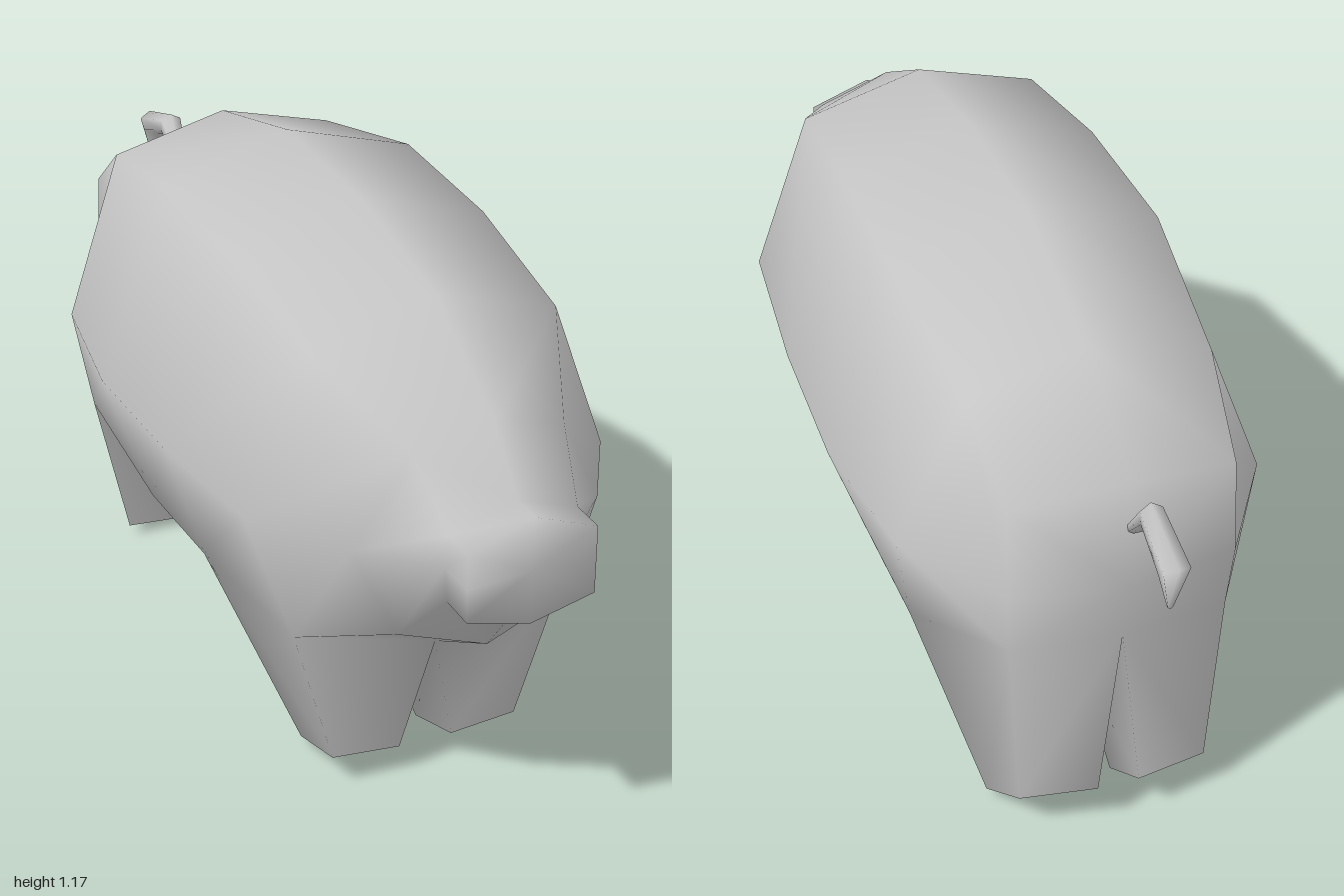
import * as THREE from 'three';

const skin = new THREE.MeshStandardMaterial({ color: 0xc6c6c6 });
skin.name = 'grey skin';

function makeMesh(name, points, index) {
  const geo = new THREE.BufferGeometry();
  geo.setAttribute('position', new THREE.Float32BufferAttribute(points.flat(), 3));
  geo.setIndex(index);
  geo.computeVertexNormals();
  const mesh = new THREE.Mesh(geo, skin);
  mesh.name = name;
  return mesh;
}

// Half cross-sections, snout to rump: top, shoulder, flank, lower flank, belly as [x, y, z]
const SECTIONS = [
  [[0, .835, 1], [.135, .785, 1], [.135, .71, 1], [.135, .64, 1], [0, .605, 1]],
  [[0, .835, .93], [.135, .785, .92], [.137, .71, .91], [.135, .64, .92], [0, .6, .94]],
  [[0, .95, .83], [.16, .905, .81], [.265, .7, .77], [.18, .51, .8], [0, .46, .83]],
  [[0, 1.1, .57], [.265, 1.025, .57], [.395, .685, .55], [.305, .41, .585], [0, .335, .605]],
  [[0, 1.165, .22], [.28, 1.085, .22], [.425, .67, .2], [.348, .41, .21], [0, .27, .21]],
  [[0, 1.175, -.15], [.285, 1.095, -.15], [.435, .665, -.15], [.335, .37, -.13], [0, .207, -.12]],
  [[0, 1.085, -.52], [.255, 1.02, -.52], [.39, .67, -.48], [.355, .45, -.45], [0, .265, -.45]],
  [[0, .935, -.76], [.235, .885, -.71], [.238, .68, -.725], [.23, .53, -.71], [0, .53, -.735]],
];

// Feet corners: front outer, front inner, back inner, back outer; each grows from the belly after a section
const FEET = {
  3: [[.21, .08, .565], [.06, .07, .57], [.065, .002, .39], [.21, .03, .4]],
  6: [[.235, .03, -.58], [.04, .012, -.59], [.045, .12, -.74], [.205, .11, -.705]],
};

const mirror = ([x, y, z]) => [-x, y, z];

// Body, snout and legs form one smooth skin
function createBody() {
  const points = [];
  const index = [];
  SECTIONS.forEach(s => points.push(...s, ...s.slice(1, 4).reverse().map(mirror)));

  // The flip keeps the diagonals mirrored from side to side
  const quad = (a, b, c, d, flip) => flip
    ? index.push(a, b, d, b, c, d)
    : index.push(a, b, c, a, c, d);

  for (let i = 0; i < SECTIONS.length - 1; i++) {
    for (let j = 0; j < 8; j++) {
      const k = (j + 1) % 8;
      const base = [i * 8 + j, i * 8 + k, i * 8 + 8 + k, i * 8 + 8 + j];
      const right = j > 3;
      if (!FEET[i] || (j !== 3 && j !== 4)) {
        quad(...base, right);
        continue;
      }
      // Pull this belly patch down into a leg
      const f = FEET[i];
      const corners = right ? [f[1], f[0], f[3], f[2]].map(mirror) : f;
      const foot = corners.map(p => points.push(p) - 1);
      for (let e = 0; e < 4; e++) {
        const n = (e + 1) % 4;
        quad(base[e], base[n], foot[n], foot[e], right);
      }
      quad(...foot, right);
    }
  }

  // Snout disc and rump
  const nose = points.push([0, .72, 1]) - 1;
  const rump = points.push([0, .69, -.78]) - 1;
  const last = (SECTIONS.length - 1) * 8;
  for (let j = 0; j < 8; j++) {
    const k = (j + 1) % 8;
    index.push(nose, k, j, rump, last + j, last + k);
  }
  return makeMesh('body', points, index);
}

// Kinked tail: six-sided rings as [y, z, radius, tilt of the ring]
function createTail() {
  const rings = [
    [.83, -.765, .012, .85], [.93, -.856, .027, .3],
    [.89, -.974, .032, -.85], [.792, -.96, .006, -1.6],
  ];
  const points = [];
  const index = [];
  rings.forEach(([y, z, r, tilt]) => {
    for (let j = 0; j < 6; j++) {
      const a = j / 6 * Math.PI * 2;
      const up = Math.cos(a) * r;
      points.push([Math.sin(a) * r, y + up * Math.cos(tilt), z + up * Math.sin(tilt)]);
    }
  });
  for (let i = 0; i < 3; i++) {
    for (let j = 0; j < 6; j++) {
      const a = i * 6 + j, b = i * 6 + (j + 1) % 6;
      index.push(a, b, b + 6, a, b + 6, a + 6);
    }
  }
  for (let j = 1; j < 5; j++) index.push(18, 18 + j, 19 + j);
  return makeMesh('tail', points, index);
}

export function createModel() {
  const pig = new THREE.Group();
  pig.name = 'pig';
  pig.add(createBody(), createTail());
  return pig;
}
